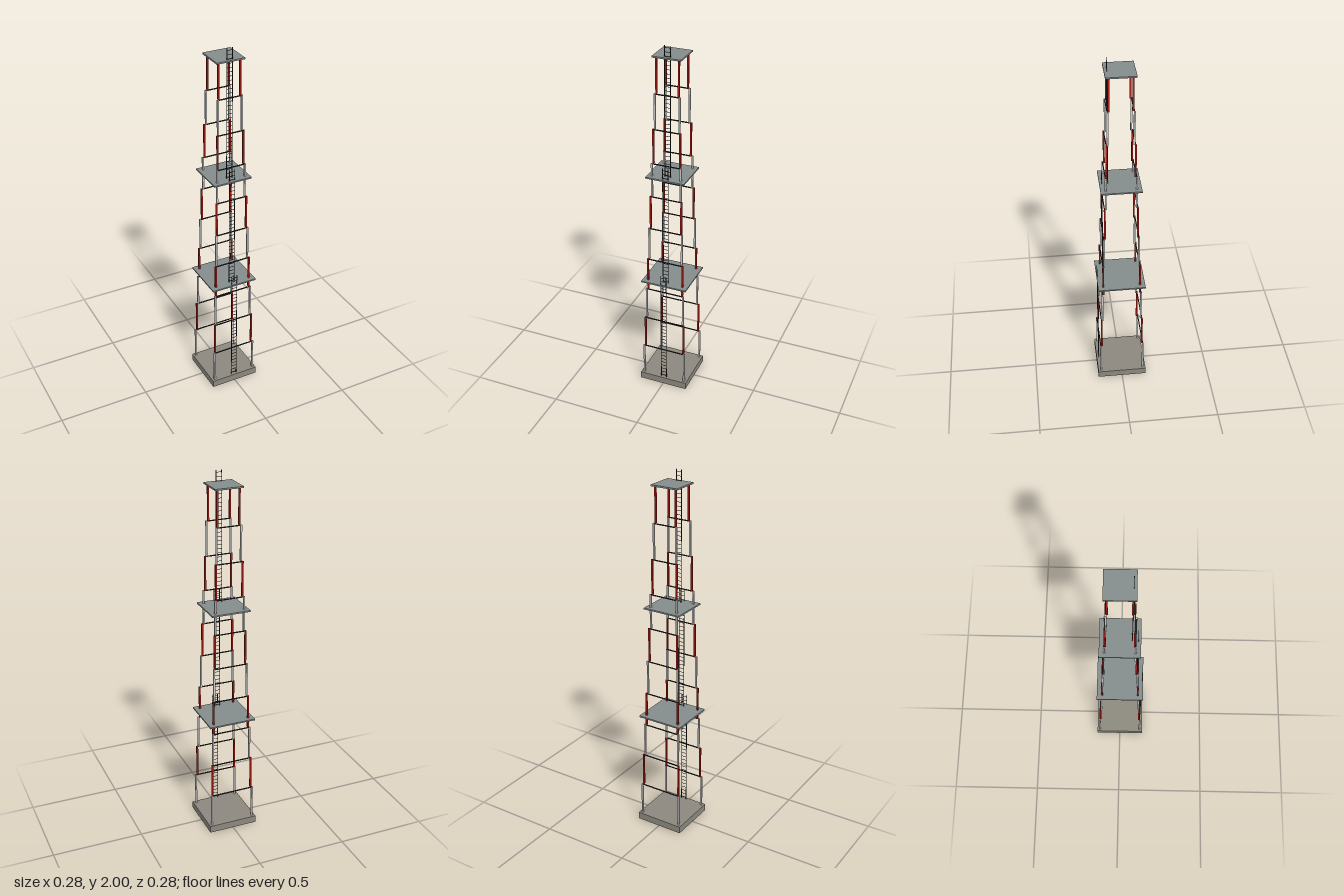
import * as THREE from 'three';

const mat = (color) => new THREE.MeshStandardMaterial({ color });
const concrete = mat(0x8c887e);
const deckGrey = mat(0x848c8c);
const red = mat(0xb01c14);
const white = mat(0xcccccc);
const dark = mat(0x2c2c2c);

const BASE_TOP = 0.04;
const SECTIONS = 10;
const SECTION_H = 0.1895;
const LEG = 0.009;

function box(parent, name, material, [w, h, d], [x, y, z]) {
  const mesh = new THREE.Mesh(new THREE.BoxGeometry(w, h, d), material);
  mesh.name = name;
  mesh.position.set(x, y, z);
  parent.add(mesh);
  return mesh;
}

// One tier: four corner legs and a cross bar on the front and back
function towerSection(i) {
  const section = new THREE.Group();
  section.name = 'towerSection';
  const half = 0.121 - 0.0068 * i;
  const y0 = BASE_TOP + i * SECTION_H;
  for (const sz of [-1, 1]) {
    for (const sx of [-1, 1]) {
      box(section, 'cornerLeg', i % 2 ? red : white,
        [LEG, SECTION_H, LEG], [sx * half, y0 + SECTION_H / 2, sz * half]);
    }
    box(section, 'crossBar', dark, [half * 2, 0.005, 0.005], [0, y0 + SECTION_H - 0.0025, sz * half]);
  }
  return section;
}

// Upright ladder with two rails and evenly spaced rungs
function ladder(y0, y1, z) {
  const group = new THREE.Group();
  group.name = 'ladder';
  for (const s of [-1, 1]) {
    box(group, 'ladderRail', dark, [0.003, y1 - y0, 0.003], [s * 0.0155, (y0 + y1) / 2, z]);
  }
  const count = Math.floor((y1 - y0) / 0.022);
  for (let k = 1; k <= count; k++) {
    box(group, 'ladderRung', dark, [0.031, 0.002, 0.002], [0, y0 + (k - 0.5) * (y1 - y0) / count, z]);
  }
  return group;
}

export function createModel() {
  const tower = new THREE.Group();
  tower.name = 'tower';

  // Foundation slab
  box(tower, 'foundation', concrete, [0.276, BASE_TOP, 0.276], [0, BASE_TOP / 2, 0]);

  // Stepped tiers, each narrower than the one below
  for (let i = 0; i < SECTIONS; i++) tower.add(towerSection(i));

  // Platforms: centre height and half width
  for (const [y, half] of [[0.66, 0.13], [1.29, 0.107], [1.938, 0.077]]) {
    box(tower, 'platform', deckGrey, [half * 2, 0.008, half * 2], [0, y, 0]);
  }

  // Ladders run from deck to deck and rise past the next one
  tower.add(ladder(BASE_TOP, 0.72, 0.125), ladder(0.66, 1.355, 0.093), ladder(1.29, 2, 0.062));

  return tower;
}
